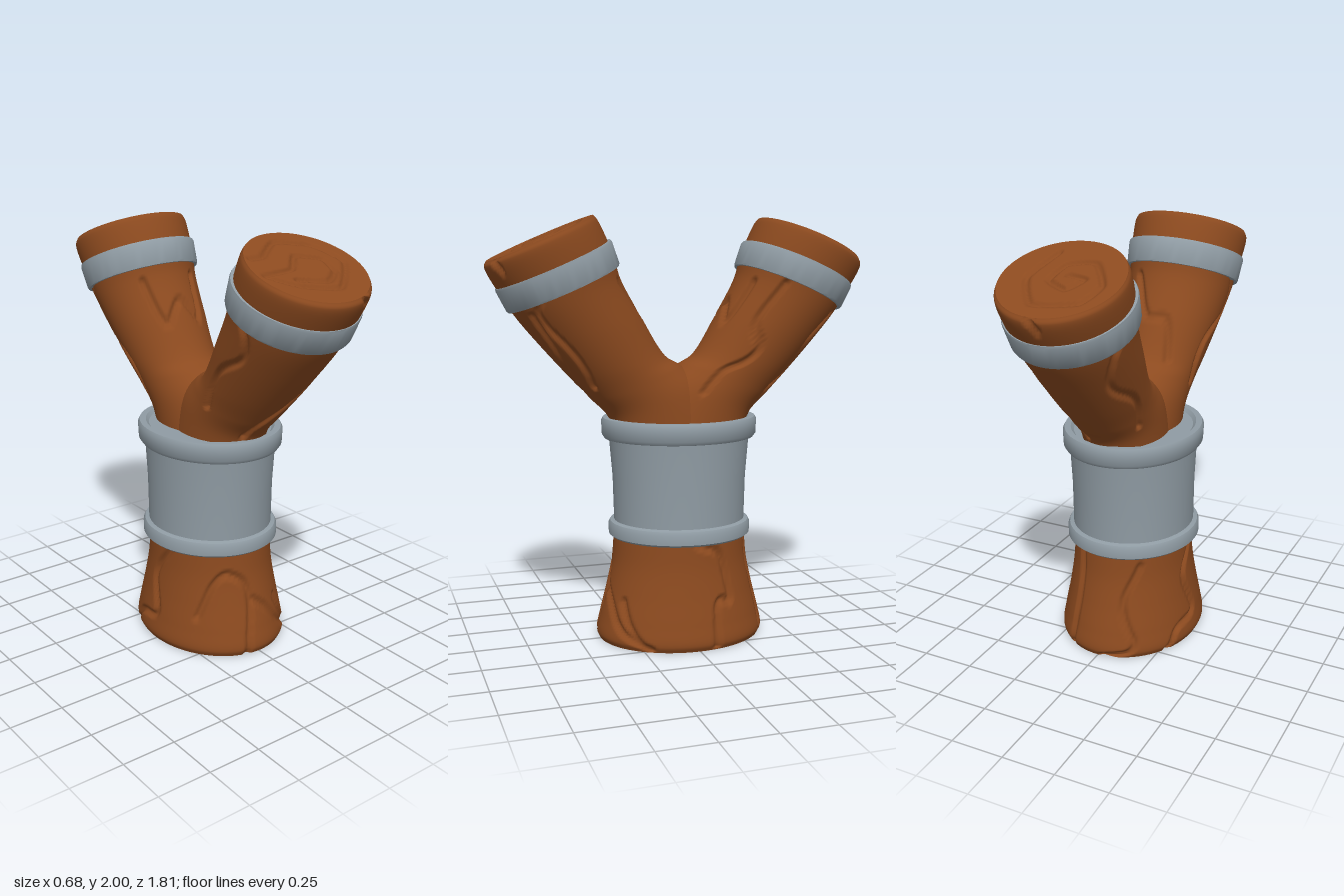
import * as THREE from 'three';
import { toCreasedNormals } from 'three/addons/utils/BufferGeometryUtils.js';

const wood = new THREE.MeshStandardMaterial({ color: 0x8c4a1f });
wood.name = 'brown wood';
const iron = new THREE.MeshStandardMaterial({ color: 0x909ca4 });
iron.name = 'grey iron';

const V = (x, y, z) => new THREE.Vector3(x, y, z);
const SEG = 180;

// A section is an oval: outer edge (z, y), inner edge (z, y) and half width in x
const oval = (y, rx, rz) => [rz, y, -rz, y, rx];

// Point on a section at angle a, scaled by k about its centre
function onSection([zo, yo, zi, yi, w], a, k = 1) {
  const s = Math.sin(a) * k * 0.5;
  return V(Math.cos(a) * w * k, (yo + yi) / 2 + (yo - yi) * s, (zo + zi) / 2 + (zo - zi) * s);
}

// Smoothly interpolated section along a list
function sectionPath(list) {
  const outer = new THREE.CatmullRomCurve3(list.map(s => V(s[4], s[1], s[0])));
  const inner = new THREE.CatmullRomCurve3(list.map(s => V(s[4], s[3], s[2])));
  return t => {
    const o = outer.getPoint(t), i = inner.getPoint(t);
    return [o.z, o.y, i.z, i.y, o.x];
  };
}

// Depth of carving at p, given the sampled groove points
function carve(p, grooves, width, depth) {
  let d2 = Infinity;
  for (const g of grooves) d2 = Math.min(d2, g.distanceToSquared(p));
  const f = 1 - Math.sqrt(d2) / width;
  return f > 0 ? depth * Math.min(1, f * 1.6) : 0;
}

// Skin rows of points that go round; rows run upward for an outside surface
function skin(rows) {
  const n = rows[0].length, pos = [], idx = [];
  rows.forEach(r => r.forEach(p => pos.push(p.x, p.y, p.z)));
  for (let j = 0; j < rows.length - 1; j++) {
    for (let i = 0; i < n; i++) {
      const a = j * n + i, b = j * n + (i + 1) % n;
      idx.push(a, a + n, b, b, a + n, b + n);
    }
  }
  const g = new THREE.BufferGeometry();
  g.setAttribute('position', new THREE.Float32BufferAttribute(pos, 3));
  g.setIndex(idx);
  g.computeVertexNormals();
  return g;
}

const ring = (n, fn) => Array.from({ length: n }, (_, i) => fn((i / n) * Math.PI * 2));

function mesh(name, geometry, material) {
  const m = new THREE.Mesh(geometry, material);
  m.name = name;
  return m;
}

// Bark with carved cracks; each crack is a list of [degrees, t]
function bark(name, list, cracks, steps) {
  const at = sectionPath(list);
  const grooves = cracks.flatMap(c =>
    new THREE.CatmullRomCurve3(c.map(([d, t]) => V(d, t, 0))).getPoints(110)
      .map(q => onSection(at(q.y), THREE.MathUtils.degToRad(q.x))));
  const rows = [];
  for (let j = 0; j <= steps; j++) {
    const s = at(j / steps), centre = onSection(s, 0, 0);
    rows.push(ring(SEG, a => {
      const p = onSection(s, a), depth = carve(p, grooves, 0.021, 0.017);
      return p.add(centre.clone().sub(p).setLength(depth));
    }));
  }
  return mesh(name, skin(rows), wood);
}

// Flat cut end with a carved growth ring; the line lies in the unit disc
function cutEnd(name, s, line) {
  const point = (x, y, k = 1) => onSection(s, Math.atan2(y, x), Math.hypot(x, y) * k);
  const grooves = line.length
    ? new THREE.CatmullRomCurve3(line.map(([x, y]) => V(x, y, 0)), false, 'catmullrom', 0.25)
      .getPoints(260).map(q => point(q.x, q.y)) : [];
  const normal = V(0, s[0] - s[2], s[3] - s[1]).normalize();
  const rows = [], rings = line.length ? 32 : 2;
  for (let j = 0; j <= rings; j++) {
    rows.push(ring(SEG, a => {
      const p = onSection(s, a, 1 - j / rings);
      return p.addScaledVector(normal, -carve(p, grooves, 0.017, 0.013));
    }));
  }
  return mesh(name, skin(rows), wood);
}

// Iron hoop or sleeve from plain ovals, with sharp corners kept
function ironwork(name, list) {
  const rows = list.map(s => ring(64, a => onSection(s, a)));
  return mesh(name, toCreasedNormals(skin(rows), 0.6), iron);
}

function branch(name, cracks, spiral) {
  const group = new THREE.Group();
  group.name = name;
  const end = [0.897, 1.79, 0.417, 2.0, 0.272];
  group.add(bark('branchBark', [
    [0.30, 0.92, -0.22, 0.95, 0.19],
    [0.345, 1.07, -0.10, 1.22, 0.19],
    [0.43, 1.16, 0.0, 1.31, 0.192],
    [0.53, 1.265, 0.075, 1.355, 0.203],
    [0.67, 1.42, 0.20, 1.55, 0.233],
    [0.77, 1.54, 0.295, 1.72, 0.255],
    [0.82, 1.615, 0.327, 1.827, 0.268],
    [0.905, 1.765, 0.40, 1.98, 0.281],
    end,
  ], cracks, 90));
  group.add(cutEnd('branchCutEnd', end, spiral));

  // Tilted hoop around the branch
  const hoop = ironwork('branchBand', [
    oval(-0.06, 0.25, 0.25), oval(-0.06, 0.276, 0.274), oval(-0.05, 0.28, 0.279),
    oval(0.05, 0.288, 0.286), oval(0.06, 0.286, 0.282), oval(0.06, 0.25, 0.25),
  ]);
  hoop.position.set(0, 1.725, 0.575);
  hoop.rotation.x = 0.41;
  group.add(hoop);
  return group;
}

export function createModel() {
  const model = new THREE.Group();
  model.name = 'forkedPost';

  // Flared trunk foot
  const foot = oval(0, 0.325, 0.395);
  model.add(bark('trunk', [
    foot, oval(0.03, 0.338, 0.407), oval(0.12, 0.326, 0.39), oval(0.25, 0.303, 0.357),
    oval(0.38, 0.285, 0.33), oval(0.52, 0.278, 0.318),
  ], [
    [[142, 0.5], [128, 0.75], [112, 0.82], [95, 0.62], [100, 0.3], [102, 0.02]],
    [[92, 0.62], [75, 0.5], [58, 0.32], [42, 0.22]],
    [[0, 0.97], [-24, 0.8], [-27, 0.58], [-13, 0.43], [-12, 0.15]],
    [[62, 0.55], [50, 0.35], [34, 0.12]],
    [[-62, 0.95], [-64, 0.6], [-62, 0.1]],
    [[170, 0.95], [188, 0.7], [180, 0.45], [205, 0.3], [212, 0.05]],
    [[235, 0.9], [250, 0.6], [240, 0.3], [265, 0.05]],
  ], 50));
  // Underside of the foot, turned to face down
  const under = cutEnd('trunkUnderside', foot, []);
  under.rotation.z = Math.PI;
  model.add(under);

  // Sleeve with a rounded rim at both ends
  model.add(ironwork('sleeve', [
    oval(0.495, 0.26, 0.29), oval(0.495, 0.305, 0.33), oval(0.505, 0.316, 0.342),
    oval(0.55, 0.316, 0.344), oval(0.567, 0.308, 0.335), oval(0.573, 0.288, 0.316),
    oval(0.78, 0.289, 0.322), oval(0.965, 0.296, 0.338), oval(0.968, 0.312, 0.36),
    oval(0.985, 0.324, 0.372), oval(1.05, 0.327, 0.375), oval(1.066, 0.318, 0.367),
    oval(1.066, 0.29, 0.335), oval(1.05, 0.275, 0.32), oval(1.05, 0.1, 0.15),
  ]));

  // Two branches of the fork
  model.add(branch('frontBranch', [
    [[55, 0.62], [60, 0.5], [80, 0.38], [105, 0.22], [110, 0.14]],
    [[35, 0.7], [48, 0.58], [42, 0.45], [55, 0.32]],
    [[180, 0.7], [165, 0.55], [190, 0.42], [175, 0.25]],
    [[300, 0.62], [280, 0.5], [250, 0.48], [235, 0.38]],
    [[62, 1], [66, 0.92], [58, 0.84]],
  ], [[-0.8, -0.4], [-0.55, -0.42], [-0.1, -0.75], [0.5, -0.55], [0.76, 0], [0.2, 0.62],
    [-0.45, 0.45], [-0.85, 0.08], [-0.3, 0], [0, -0.32], [0.42, -0.15], [0.4, 0.2],
    [0.1, 0.42], [-0.4, 0.28]]));
  const back = branch('backBranch', [
    [[205, 0.66], [212, 0.52], [190, 0.42], [205, 0.3], [200, 0.15]],
    [[125, 0.62], [132, 0.5], [118, 0.38], [125, 0.28], [110, 0.15]],
    [[240, 0.62], [245, 0.5], [270, 0.54], [300, 0.5], [305, 0.62]],
    [[20, 0.68], [40, 0.5], [15, 0.38], [30, 0.2]],
    [[90, 1], [94, 0.92], [86, 0.84]],
  ], [[-0.35, -0.64], [-0.55, 0.07], [-0.18, 0.68], [0.54, 0.54], [0.7, 0.07], [0.36, -0.46],
    [-0.07, -0.36], [-0.18, 0.07], [0.18, 0.25], [0.36, -0.04], [0.07, -0.1]]);
  back.rotation.y = Math.PI;
  model.add(back);
  return model;
}
